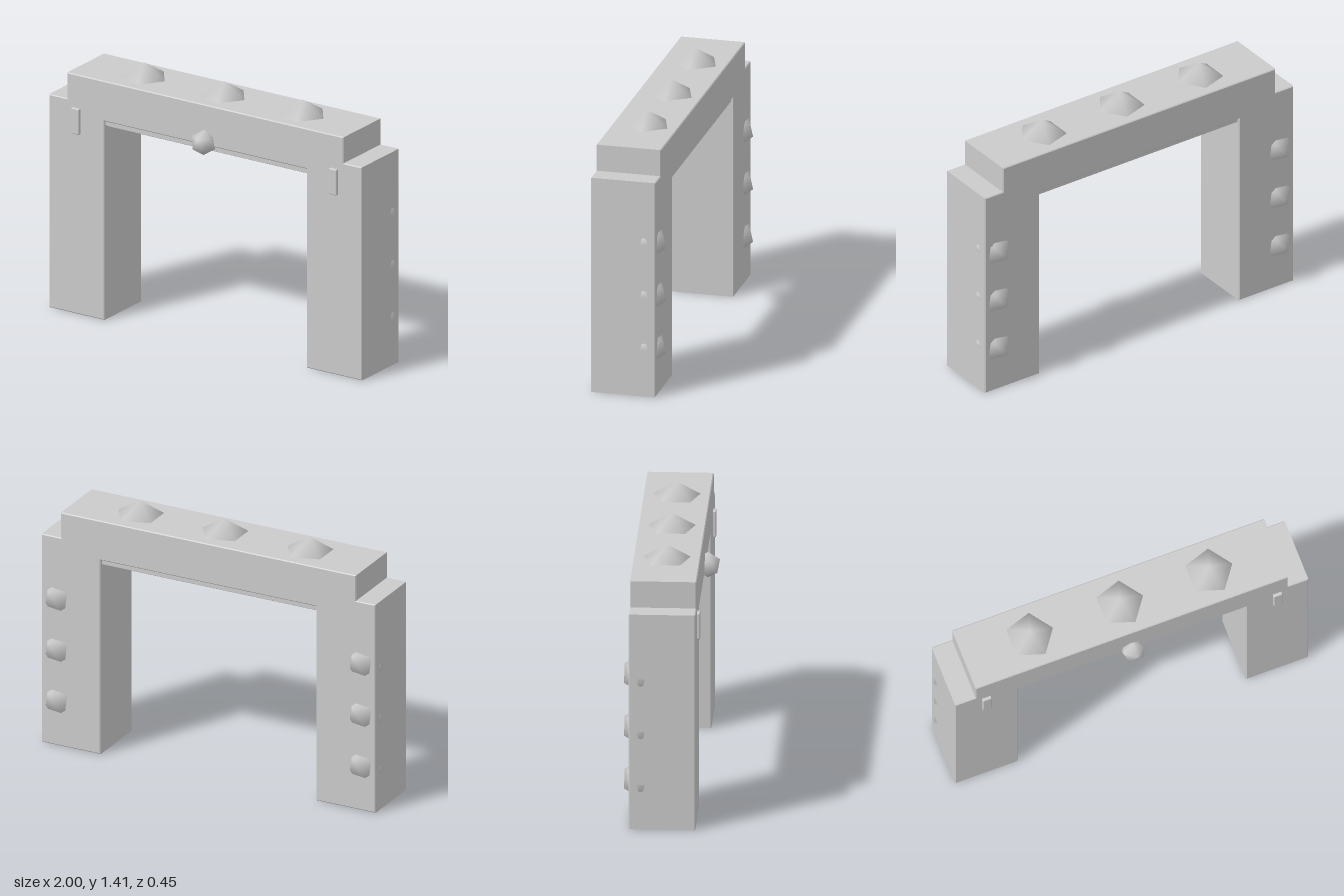
import * as THREE from 'three';
import { mergeVertices } from 'three/addons/utils/BufferGeometryUtils.js';
import { RoundedBoxGeometry } from 'three/addons/geometries/RoundedBoxGeometry.js';

const material = new THREE.MeshStandardMaterial({ color: 0xcccccc });
const VERTEX_UP = -Math.atan((1 + Math.sqrt(5)) / 2); // stands an icosahedron on a corner

// Smooth-shaded icosahedron stone
function stoneGeometry(radius) {
  const source = new THREE.IcosahedronGeometry(radius, 0);
  source.deleteAttribute('normal');
  source.deleteAttribute('uv');
  const geometry = mergeVertices(source, 1e-4);
  geometry.computeVertexNormals();
  return geometry;
}

export function createModel() {
  const group = new THREE.Group();
  const add = (name, geometry, x = 0, y = 0, z = 0) => {
    const mesh = new THREE.Mesh(geometry, material);
    mesh.name = name;
    mesh.position.set(x, y, z);
    group.add(mesh);
  };

  // Two posts and a raised lintel, cut as one outline with fine bevelled edges
  const half = [[0.64, 0], [0.99, 0], [0.99, 1.19], [0.875, 1.19], [0.875, 1.335]];
  const mirrored = half.map(([x, y]) => [-x, y]).reverse();
  const outline = [...half, ...mirrored, [-0.64, 1.11], [0.64, 1.11]];
  const bevel = 0.005;
  const arch = new THREE.ExtrudeGeometry(
    new THREE.Shape(outline.map(([x, y]) => new THREE.Vector2(x, y))),
    { depth: 0.35 - 2 * bevel, bevelEnabled: true, bevelSize: bevel, bevelThickness: bevel, bevelOffset: -bevel, bevelSegments: 1 }
  );
  add('arch', arch, 0, 0, -0.2 + bevel);

  // Stepped panel under the lintel
  add('soffitStep', new THREE.BoxGeometry(1.29, 0.03, 0.32), 0, 1.1, -0.025);
  add('soffitPanel', new RoundedBoxGeometry(1.29, 0.025, 0.29, 1, 0.004), 0, 1.085, -0.025);

  // Stones half sunk into the top of the lintel
  const topStone = stoneGeometry(0.146).rotateX(VERTEX_UP).rotateY(Math.PI / 2);
  for (const x of [-0.505, 0, 0.5]) add('topStone', topStone, x, 1.269, -0.025);

  // Keystone gem on the front
  add('frontGem', stoneGeometry(0.07).rotateX(VERTEX_UP), 0, 1.13, 0.165);

  // Stones poking through the back and outer side of each post, and front tabs
  const postStone = stoneGeometry(0.105).rotateZ(-0.66);
  const tab = new RoundedBoxGeometry(0.05, 0.145, 0.035, 2, 0.006);
  for (const side of [-1, 1]) {
    for (const y of [0.25, 0.543, 0.835]) add('postStone', postStone, side * 0.902, y, -0.138);
    add('frontTab', tab, side * 0.815, 1.078, 0.149);
  }

  return group;
}
